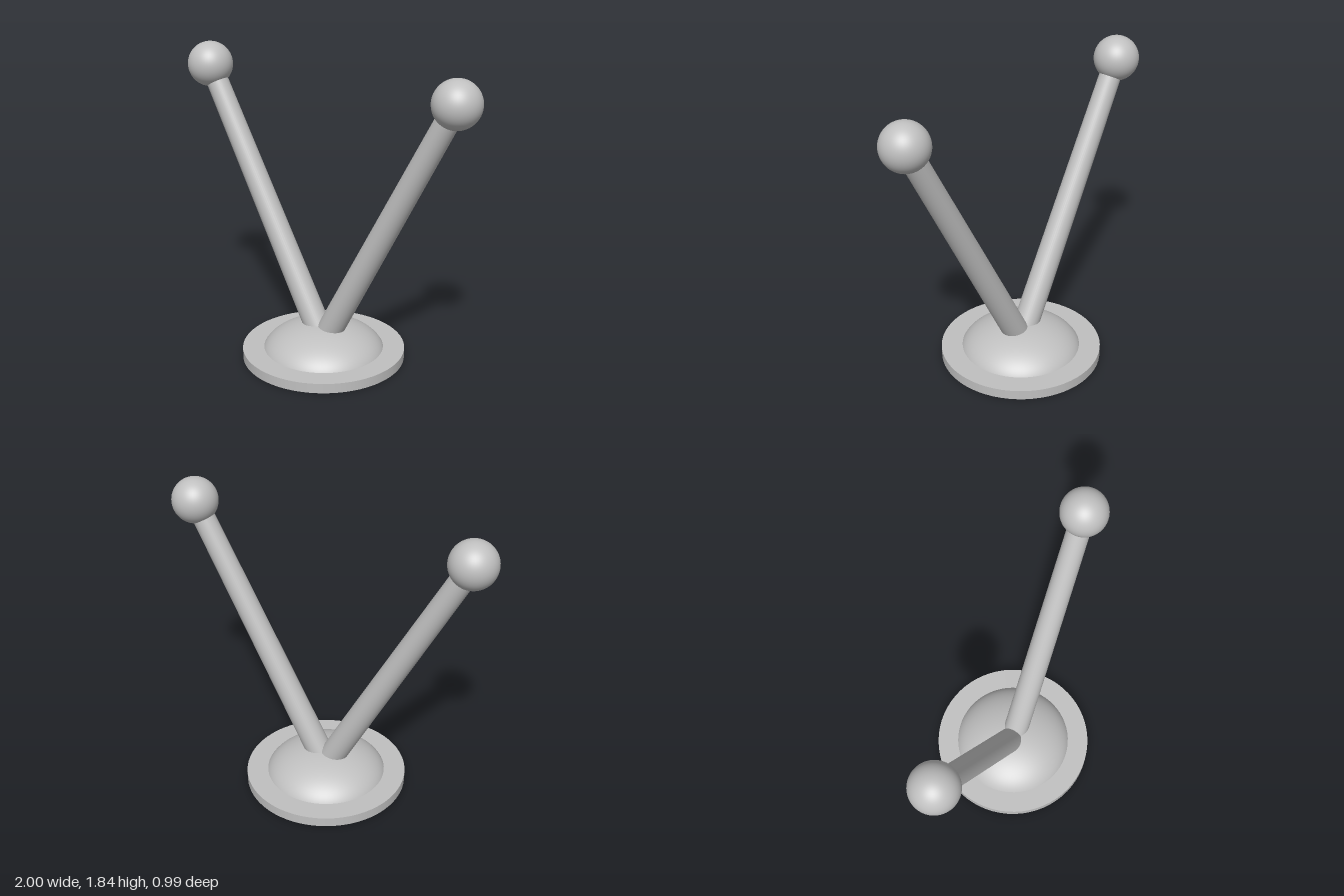
import * as THREE from 'three';

export function createModel() {
  const group = new THREE.Group();
  const grey = new THREE.MeshStandardMaterial({ color: 0xc0c0c0 });
  grey.name = 'plain grey';

  function add(name, geometry, parent = group) {
    const mesh = new THREE.Mesh(geometry, grey);
    mesh.name = name;
    parent.add(mesh);
    return mesh;
  }

  // Flat round foot
  add('baseDisc', new THREE.CylinderGeometry(0.495, 0.495, 0.06, 64)).position.y = 0.03;

  // Flattened dome, its lower rim sunk into the foot
  const dome = add('dome', new THREE.SphereGeometry(1, 64, 24, 0, Math.PI * 2, 0, Math.PI / 2 - 0.15));
  dome.scale.set(0.381, 0.208, 0.381);

  // Mirrored tapered rods, each carrying a ball
  const up = new THREE.Vector3(0, 1, 0);
  for (const [name, side] of [['leftAntenna', 1], ['rightAntenna', -1]]) {
    const antenna = new THREE.Group();
    antenna.name = name;
    group.add(antenna);

    const foot = new THREE.Vector3(side * 0.0075, 0.1, 0);
    const tip = new THREE.Vector3(side * 0.863, 1.702, 0);
    const axis = tip.clone().sub(foot);

    const rod = add('rod', new THREE.CylinderGeometry(0.066, 0.08, axis.length(), 40), antenna);
    rod.position.copy(foot).add(tip).multiplyScalar(0.5);
    rod.quaternion.setFromUnitVectors(up, axis.normalize());

    add('ball', new THREE.SphereGeometry(0.137, 48, 32), antenna).position.copy(tip);
  }
  return group;
}
